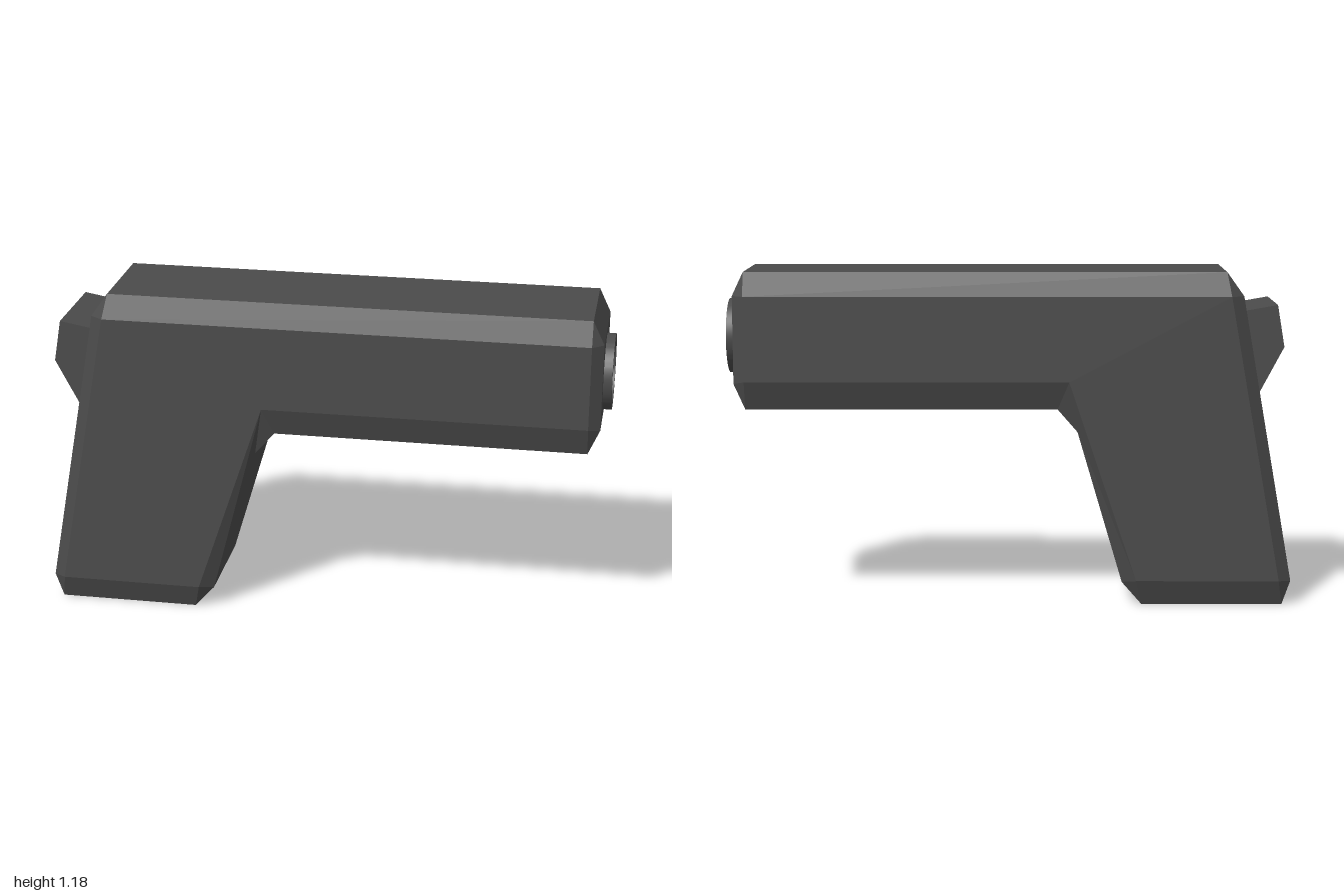
import * as THREE from 'three';
import { toCreasedNormals } from 'three/addons/utils/BufferGeometryUtils.js';

const HALF_CORE = 0.18;  // half width of the outer outline
const HALF_FACE = 0.213; // half width at the flat side faces

// Each corner: [side-face point, first chamfer point, second chamfer point], anticlockwise
const CORNERS = [
  [[-0.45, 0.09], [-0.47, 0], [-0.40, 0.08]],
  [[-0.21, 0.80], [-0.24, 0.62], [-0.17, 0.70]],
  [[0.93, 0.80], [0.93, 0.70], [0.97, 0.79]],
  [[0.93, 1.10], [0.97, 1.10], [0.93, 1.184]],
  [[-0.775, 1.10], [-0.76, 1.184], [-0.82, 1.10]],
  [[-0.955, 0.09], [-1, 0.085], [-0.97, 0]],
];

// Chamfered L-shaped body, built from its corner list
function bodyGeometry() {
  const pos = [];
  const tri = (...pts) => pts.forEach((p) => pos.push(...p));
  const quad = (a, b, c, d) => { tri(a, b, c); tri(a, c, d); };
  const core = (p, s) => [p[0], p[1], s * HALF_CORE];
  const face = (p, s) => [p[0], p[1], s * HALF_FACE];

  CORNERS.forEach(([f, p, q], i) => {
    const [nf, np] = CORNERS[(i + 1) % CORNERS.length];
    // walls across the width
    for (const [a, b] of [[p, q], [q, np]]) {
      quad(core(a, 1), core(a, -1), core(b, -1), core(b, 1));
    }
    // bevels on both sides
    tri(core(p, 1), core(q, 1), face(f, 1));
    tri(core(q, -1), core(p, -1), face(f, -1));
    quad(core(q, 1), core(np, 1), face(nf, 1), face(f, 1));
    quad(core(np, -1), core(q, -1), face(f, -1), face(nf, -1));
  });

  // flat side faces
  const outline = CORNERS.map(([f]) => new THREE.Vector2(...f));
  for (const t of THREE.ShapeUtils.triangulateShape(outline, [])) {
    const [a, b, c] = t.map((i) => CORNERS[i][0]);
    tri(face(a, 1), face(b, 1), face(c, 1));
    tri(face(c, -1), face(b, -1), face(a, -1));
  }
  const g = new THREE.BufferGeometry();
  g.setAttribute('position', new THREE.Float32BufferAttribute(pos, 3));
  g.computeVertexNormals();
  return g;
}

export function createModel() {
  const group = new THREE.Group();
  const darkGrey = new THREE.MeshStandardMaterial({ color: 0x4b4b4b });
  darkGrey.name = 'darkGrey';
  const add = (name, geometry) => {
    const mesh = new THREE.Mesh(geometry, darkGrey);
    mesh.name = name;
    group.add(mesh);
    return mesh;
  };

  add('body', bodyGeometry());

  // Wedge at the rear, sunk slightly into the body
  const wedge = new THREE.Shape([
    [-0.94, 1.068], [-0.965, 0.92], [-0.87, 0.74], [-0.80, 0.80], [-0.77, 1.038],
  ].map((p) => new THREE.Vector2(...p)));
  const wedgeGeometry = new THREE.ExtrudeGeometry(wedge, { depth: 0.33, bevelEnabled: false });
  add('rearWedge', wedgeGeometry.translate(0, 0, -0.165));

  // Muzzle ring with a shallow recessed disc
  const ring = new THREE.Shape().absarc(0, 0, 0.133, 0, Math.PI * 2);
  ring.holes.push(new THREE.Path().absarc(0, 0, 0.109, 0, Math.PI * 2, true));
  const ringGeometry = toCreasedNormals(
    new THREE.ExtrudeGeometry(ring, { depth: 0.04, bevelEnabled: false, curveSegments: 40 }), 0.6);
  add('muzzleRing', ringGeometry.rotateY(Math.PI / 2).translate(0.96, 0.943, 0));

  const disc = new THREE.CylinderGeometry(0.112, 0.112, 0.03, 40);
  add('muzzleDisc', disc.rotateZ(-Math.PI / 2).translate(0.972, 0.943, 0));

  return group;
}
